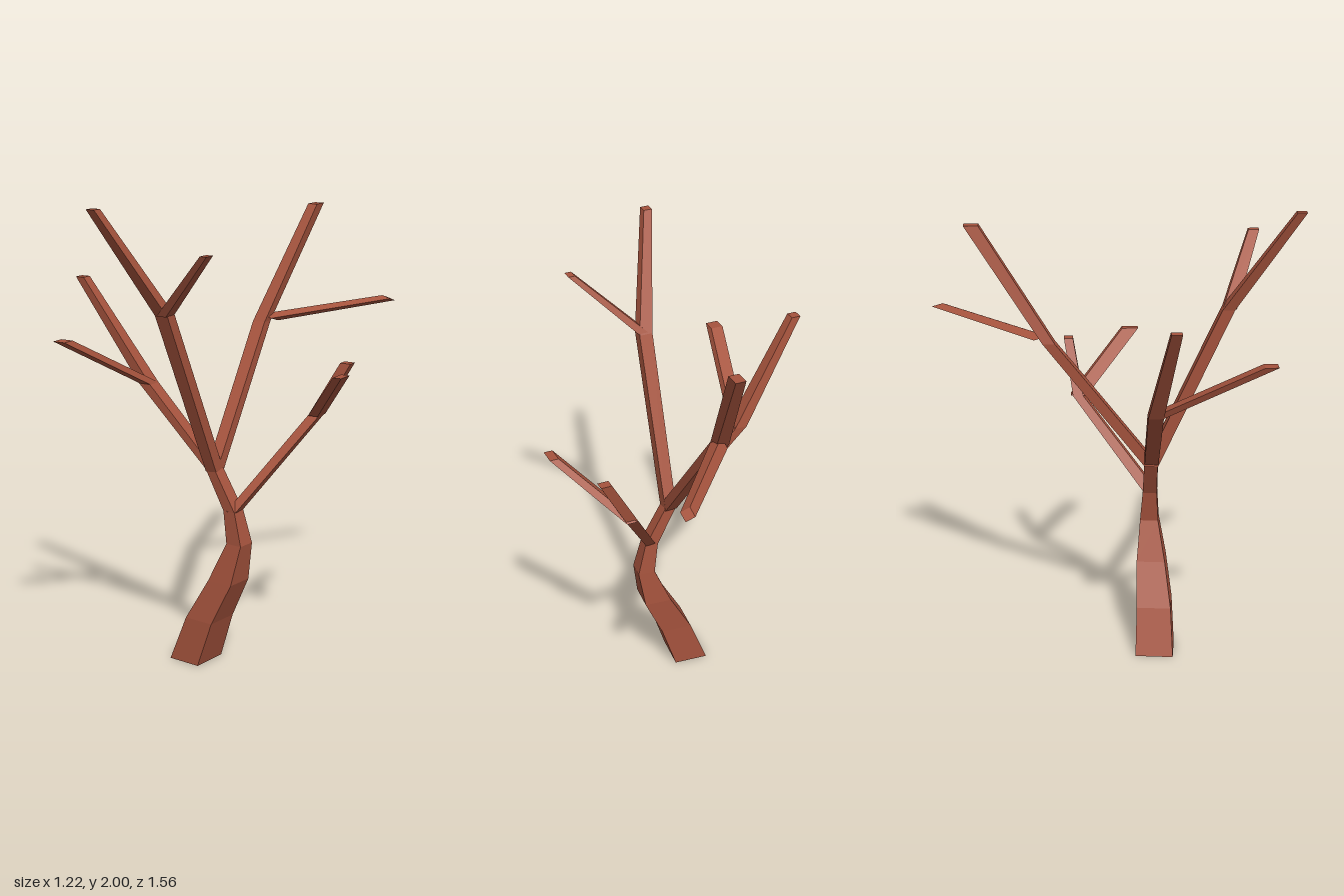
import * as THREE from 'three';

const bark = new THREE.MeshStandardMaterial({ color: 0xa5533d, flatShading: true });
const CORNERS = [[0.5, 0.5], [0.5, -0.5], [-0.5, -0.5], [-0.5, 0.5]];

// Four-sided limb through near-horizontal sections [x, y, z, widthX, widthZ].
// yaw turns each section; tilt = [slopeX, slopeZ] leans its plane.
function limb(name, sections, yaw = 0, tilt = [0, 0]) {
  const c = Math.cos(yaw), s = Math.sin(yaw);
  const rings = sections.map(([x, y, z, wx, wz]) => CORNERS.map(([i, j]) => {
    const dx = c * i * wx - s * j * wz;
    const dz = s * i * wx + c * j * wz;
    return [x + dx, y + tilt[0] * dx + tilt[1] * dz, z + dz];
  }));
  const pos = [];
  const quad = (a, b, d, e) => pos.push(...a, ...b, ...d, ...a, ...d, ...e);
  for (let r = 0; r < rings.length - 1; r++) {
    for (let k = 0; k < 4; k++) {
      const n = (k + 1) % 4;
      quad(rings[r][k], rings[r][n], rings[r + 1][n], rings[r + 1][k]);
    }
  }
  const top = rings[rings.length - 1], low = rings[0];
  quad(top[0], top[1], top[2], top[3]);
  quad(low[3], low[2], low[1], low[0]);
  const geo = new THREE.BufferGeometry();
  geo.setAttribute('position', new THREE.Float32BufferAttribute(pos, 3));
  geo.computeVertexNormals();
  const mesh = new THREE.Mesh(geo, bark);
  mesh.name = name;
  return mesh;
}

export function createModel() {
  const tree = new THREE.Group();
  tree.name = 'bareTree';

  // Bent trunk, thinning up to the crown fork
  tree.add(limb('trunk', [
    [-0.055, 0, 0.188, 0.15, 0.165],
    [0.015, 0.2, 0.188, 0.138, 0.15],
    [0.105, 0.38, 0.178, 0.12, 0.125],
    [0.155, 0.55, 0.171, 0.075, 0.08],
    [0.126, 0.69, 0.171, 0.058, 0.062],
    [0.032, 0.86, 0.17, 0.05, 0.058],
  ], 0.1));

  // Left branch, leaving the trunk below the crown
  tree.add(limb('leftBranch', [
    [0.132, 0.69, 0.172, 0.045, 0.06],
    [0.346, 1.07, -0.142, 0.05, 0.045],
    [0.47, 1.3, -0.182, 0.048, 0.04],
  ]));
  tree.add(limb('leftTwig', [
    [0.35, 1.07, -0.138, 0.045, 0.07],
    [0.59, 1.308, 0.1, 0.038, 0.072],
  ]));

  // Right branch
  tree.add(limb('rightBranch', [
    [0.035, 0.855, 0.17, 0.045, 0.06],
    [-0.302, 1.19, 0.167, 0.056, 0.064],
    [-0.595, 1.632, 0.228, 0.04, 0.044],
  ]));
  tree.add(limb('rightTwig', [
    [-0.3, 1.19, 0.168, 0.056, 0.06],
    [-0.406, 1.437, 0.622, 0.056, 0.056],
  ]));

  // Back branch
  tree.add(limb('backBranch', [
    [0.033, 0.85, 0.17, 0.052, 0.058],
    [0, 1.42, -0.268, 0.058, 0.052],
    [0.087, 1.905, -0.585, 0.044, 0.062],
  ]));
  tree.add(limb('backTwig', [
    [0.02, 1.432, -0.3, 0.05, 0.06],
    [0.37, 1.483, -0.755, 0.04, 0.048],
  ], 0, [-0.3, 0.3]));

  // Front branch
  tree.add(limb('frontBranch', [
    [0.033, 0.85, 0.17, 0.052, 0.058],
    [0, 1.56, 0.485, 0.06, 0.052],
    [-0.14, 2, 0.76, 0.038, 0.04],
  ]));
  tree.add(limb('frontTwig', [
    [0.005, 1.56, 0.49, 0.045, 0.06],
    [0.28, 1.835, 0.615, 0.03, 0.046],
  ]));

  return tree;
}
